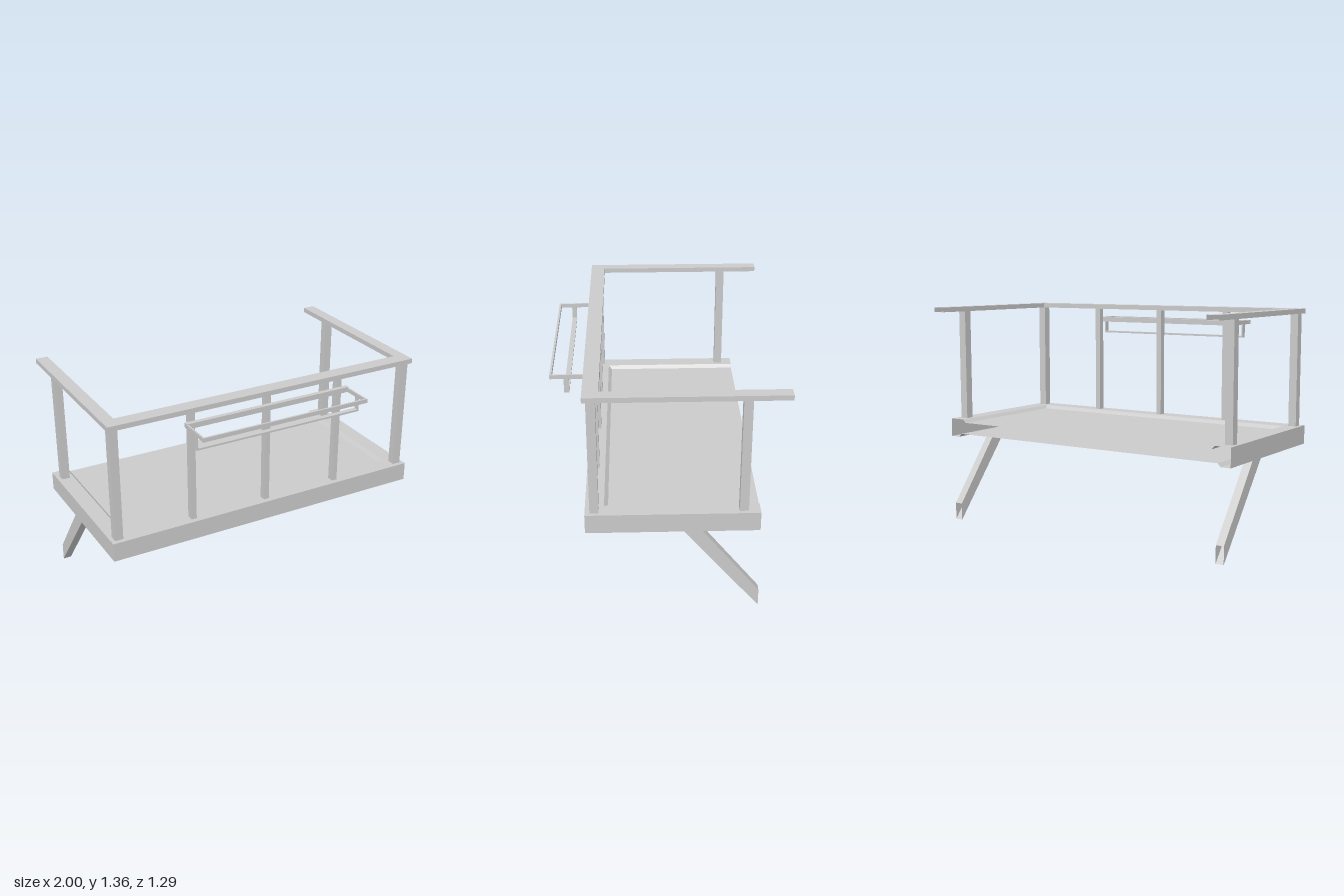
import * as THREE from 'three';

const material = new THREE.MeshStandardMaterial({
  color: 0xcccccc, flatShading: true, side: THREE.DoubleSide,
});

// Joins matching rows of [x, y, z] points with flat quads, leaving the ends open
function loft(sections, closed = true) {
  const pos = [];
  for (let i = 0; i < sections.length - 1; i++) {
    const s = sections[i], t = sections[i + 1], n = s.length;
    for (let j = 0; j < (closed ? n : n - 1); j++) {
      const k = (j + 1) % n;
      pos.push(...s[j], ...t[j], ...t[k], ...s[j], ...t[k], ...s[k]);
    }
  }
  const geometry = new THREE.BufferGeometry();
  geometry.setAttribute('position', new THREE.Float32BufferAttribute(pos, 3));
  geometry.computeVertexNormals();
  return geometry;
}

// Hollow U-shaped beam with mitred corners; profile is [inset, y]
function uBeam(profile, halfWidth, front, back, frontScale, closed) {
  const section = (side, atFront) => profile.map(([inset, y]) =>
    [side * (halfWidth - inset), y, atFront ? front - inset * frontScale : back]);
  return loft([section(-1, false), section(-1, true), section(1, true), section(1, false)], closed);
}

export function createModel() {
  const model = new THREE.Group();

  const add = (parent, name, geometry) => {
    const mesh = new THREE.Mesh(geometry, material);
    mesh.name = name;
    parent.add(mesh);
    return mesh;
  };
  // Box given by its lower and upper bounds
  const addBox = (parent, name, x0, x1, y0, y1, z0, z1) => {
    const mesh = add(parent, name, new THREE.BoxGeometry(x1 - x0, y1 - y0, z1 - z0));
    mesh.position.set((x0 + x1) / 2, (y0 + y1) / 2, (z0 + z1) / 2);
  };

  // Platform: hollow shell open at the back, with a shallow recess above and below
  const front = 0.457, back = -0.505, frontScale = 1.08;
  const curb = [[0.08, 0.556], [0.06, 0.536], [0, 0.536], [0, 0.649], [0.097, 0.649], [0.117, 0.629]];
  add(model, 'platformFrame', uBeam(curb, 1, front, back, frontScale, false));
  const addPanel = (name, [inset, y], tilt) => {
    const z1 = front - inset * frontScale;
    const panel = add(model, name, new THREE.PlaneGeometry(2 * (1 - inset), z1 - back));
    panel.rotation.x = tilt;
    panel.position.set(0, y, (z1 + back) / 2);
  };
  addPanel('floor', curb[5], -Math.PI / 2);
  addPanel('underside', curb[0], Math.PI / 2);

  // Handrail, running past the platform at the back
  const rail = [[0, 1.329], [0, 1.358], [0.073, 1.358], [0.073, 1.329]];
  add(model, 'handrail', uBeam(rail, 0.992, 0.45, -0.645, 1.2, true));

  // Corner and intermediate posts
  const posts = new THREE.Group();
  posts.name = 'posts';
  model.add(posts);
  const addPost = (name, x, z, w, d) =>
    addBox(posts, name, x - w / 2, x + w / 2, 0.649, 1.329, z - d / 2, z + d / 2);
  for (const x of [-0.952, 0.952]) {
    addPost('frontCornerPost', x, 0.405, 0.049, 0.05);
    addPost('backPost', x, -0.414, 0.049, 0.05);
  }
  for (const x of [-0.483, 0, 0.483]) addPost('middlePost', x, 0.405, 0.034, 0.04);

  // Slanted support struts, cut upright at the wall
  for (const x of [-0.946, 0.946]) {
    const l = x - 0.025, r = x + 0.025;
    add(model, 'supportStrut', loft([
      [[l, 0, -0.515], [l, 0.105, -0.515], [r, 0.105, -0.515], [r, 0, -0.515]],
      [[l, 0.537, -0.07], [l, 0.537, -0.174], [r, 0.537, -0.174], [r, 0.537, -0.07]],
    ]));
  }

  // Planter holder hung outside the front posts
  const holder = new THREE.Group();
  holder.name = 'planterHolder';
  model.add(holder);
  addBox(holder, 'backBar', -0.531, 0.531, 1.241, 1.272, 0.428, 0.456);
  addBox(holder, 'frontBar', -0.531, 0.531, 1.244, 1.268, 0.633, 0.645);
  addBox(holder, 'lowerBar', -0.525, 0.525, 1.161, 1.172, 0.538, 0.567);
  for (const x of [-0.525, 0.525]) {
    addBox(holder, 'sideArm', x - 0.005, x + 0.005, 1.244, 1.268, 0.456, 0.633);
    addBox(holder, 'hanger', x - 0.004, x + 0.004, 1.161, 1.244, 0.538, 0.567);
  }

  return model;
}
